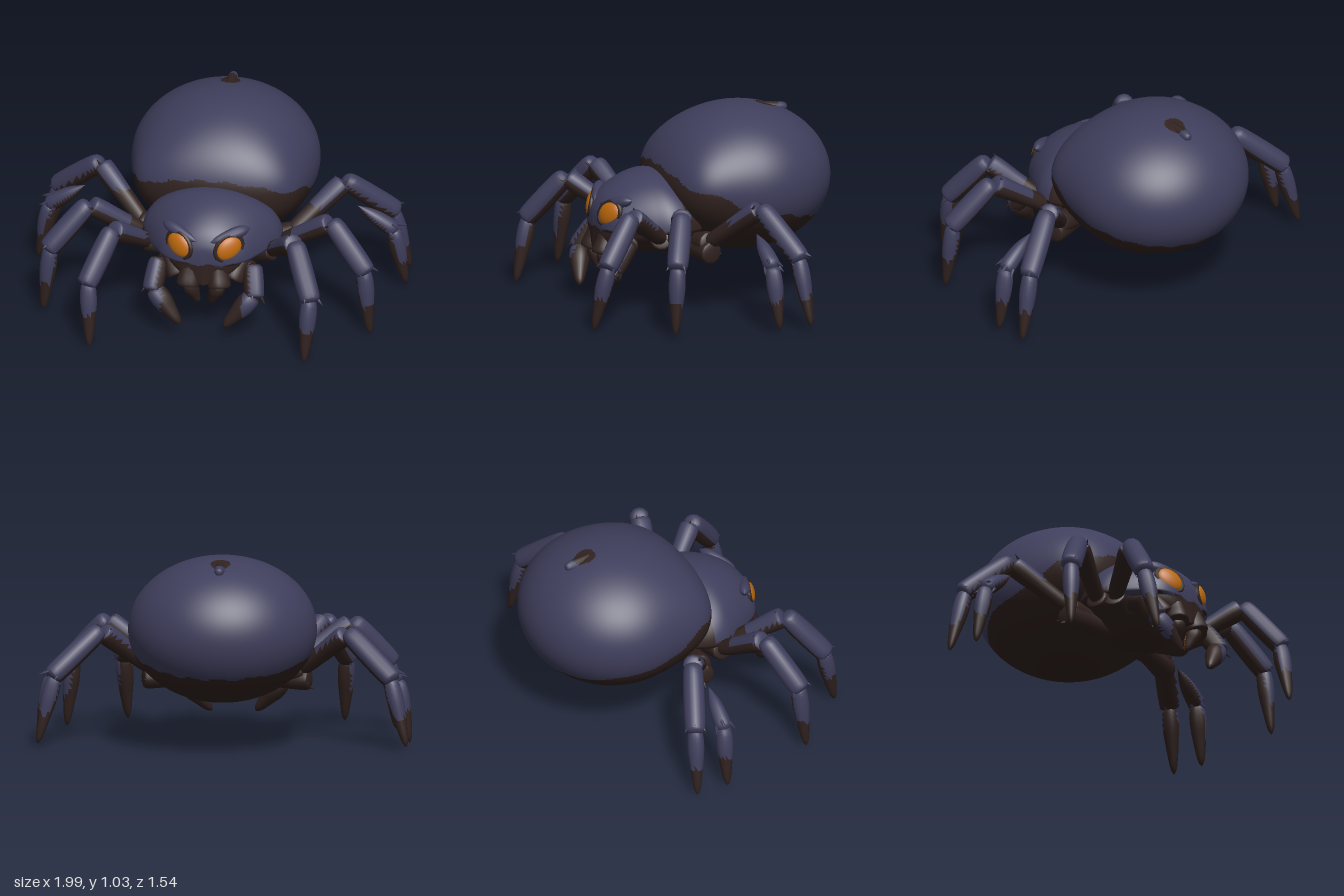
import * as THREE from 'three';
import { mergeVertices } from 'three/addons/utils/BufferGeometryUtils.js';
import { ParametricGeometry } from 'three/addons/geometries/ParametricGeometry.js';

const V = (x, y, z) => new THREE.Vector3(x, y, z);
const UP = V(0, 1, 0);

function material(name, color) {
  const m = new THREE.MeshStandardMaterial({ color });
  m.name = name;
  return m;
}

// Sorts the triangles into two groups: 0 = first colour, 1 = second, by a rule on centre and normal
function paint(geo, isSecond) {
  const g = geo.index ? geo.toNonIndexed() : geo;
  const p = g.attributes.position, n = g.attributes.normal;
  const lists = [[], []], c = V(), d = V(), t = V();
  for (let i = 0; i < p.count; i += 3) {
    c.set(0, 0, 0); d.set(0, 0, 0);
    for (let k = 0; k < 3; k++) {
      c.add(t.fromBufferAttribute(p, i + k));
      d.add(t.fromBufferAttribute(n, i + k));
    }
    lists[isSecond(c.divideScalar(3), d.normalize()) ? 1 : 0].push(i, i + 1, i + 2);
  }
  g.setIndex([...lists[0], ...lists[1]]);
  g.addGroup(0, lists[0].length, 0);
  g.addGroup(lists[0].length, lists[1].length, 1);
  return g;
}

// Joins seams and gives smooth normals
function smooth(geo) {
  geo.deleteAttribute('uv');
  geo.deleteAttribute('normal');
  const g = mergeVertices(geo, 1e-4);
  g.computeVertexNormals();
  return g;
}

// Turned solid from a to b; the profile lists [position along, radius]
function turned(a, b, profile, sides = 12) {
  const len = a.distanceTo(b);
  const pts = new THREE.SplineCurve(profile.map(([t, r]) => new THREE.Vector2(r, t * len))).getPoints(18);
  pts.forEach(q => { q.x = Math.max(q.x, 0); });
  const g = new THREE.LatheGeometry(pts, sides);
  g.applyQuaternion(new THREE.Quaternion().setFromUnitVectors(UP, b.clone().sub(a).normalize()));
  return g.translate(a.x, a.y, a.z);
}

export function createModel() {
  const shell = material('blueShell', 0x3f3e5c);
  const dark = material('darkBrown', 0x30221f);
  const orange = material('orangeEye', 0xbd690e);
  const two = [shell, dark];
  const root = new THREE.Group();
  root.name = 'spider';

  const add = (parent, name, geo, mat) => {
    const m = new THREE.Mesh(geo, mat);
    m.name = name;
    parent.add(m);
    return m;
  };

  // Small bristles around the far end of a segment
  const bristles = (parent, a, b, r, mat, count = 5) => {
    const dir = b.clone().sub(a).normalize();
    const side = V().crossVectors(dir, V(0.3, 0.2, 0.9)).normalize();
    for (let i = 0; i < count; i++) {
      const off = side.clone().applyAxisAngle(dir, i * Math.PI * 2 / count + 0.4);
      const base = a.clone().lerp(b, 0.8 + 0.06 * (i % 3)).addScaledVector(off, r * 0.75);
      const tip = base.clone().addScaledVector(dir, 0.05).addScaledVector(off, r * 0.4);
      add(parent, 'bristle', turned(base, tip, [[0, 0.012], [0.5, 0.007], [1, 0]], 4), mat);
    }
  };

  // Abdomen: egg with a broad front, dark belly and a dark spot on the back
  const ab = new THREE.SphereGeometry(1, 180, 120);
  const ap = ab.attributes.position;
  for (let i = 0; i < ap.count; i++) {
    const z = ap.getZ(i), broad = z > 0 ? 1 + 0.58 * z ** 3 : 1;
    ap.setXYZ(i, ap.getX(i) * 0.5 * broad, 0.64 + ap.getY(i) * 0.39, -0.285 + z * 0.487);
  }
  const edge = new THREE.SplineCurve([[-0.78, 0.4], [-0.7, 0.42], [-0.4, 0.5], [-0.15, 0.55], [-0.06, 0.62],
    [0.02, 0.65], [0.13, 0.67], [0.22, 0.78]].map(([z, y]) => new THREE.Vector2(z, y))).getPoints(200);
  const bellyLine = z => (edge.find(q => q.x >= z) || edge[200]).y;
  const inSpot = c => c.y > 0.9 && Math.hypot(c.x / (0.05 + 0.25 * (c.z + 0.45)), (c.z + 0.45) / 0.065) < 1;
  add(root, 'abdomen', paint(smooth(ab), c =>
    c.y < bellyLine(c.z) + 0.007 * Math.sin(c.x * 40 + c.z * 25) || inSpot(c)), two);
  // Low ridge along the back, ending in a blunt step
  add(root, 'backRidge', paint(turned(V(0, 1.005, -0.28), V(0, 0.978, -0.56),
    [[0, 0], [0.4, 0.024], [0.8, 0.028], [0.97, 0.02], [1, 0]]), inSpot), two);

  // Head: cross-sections along z given as (z, half width, top)
  const line = new THREE.CatmullRomCurve3([V(0.05, 0.33, 0.64), V(0.14, 0.37, 0.69), V(0.22, 0.37, 0.71),
    V(0.3, 0.335, 0.7), V(0.4, 0.275, 0.66), V(0.48, 0.215, 0.6), V(0.525, 0.13, 0.53), V(0.54, 0, 0.45)]);
  const head = new ParametricGeometry((u, v, out) => {
    const s = line.getPoint(v), a = u * Math.PI * 2, c = Math.cos(a), sn = Math.sin(a);
    const lower = sn < -0.01;
    out.set(Math.max(s.y, 0) * c * (lower ? 0.86 : 1), 0.43 + sn * (lower ? 0.13 : s.z - 0.43), s.x);
  }, 96, 64);
  add(root, 'head', paint(smooth(head), c =>
    c.z < 0.15 || c.y < 0.425 + 0.008 * Math.sin(c.x * 50) + (c.z < 0.25 ? 0.03 : 0)), two);

  // Underside of the thorax
  add(root, 'sternum', new THREE.SphereGeometry(1, 24, 16).scale(0.27, 0.11, 0.25).translate(0, 0.38, 0.19), dark);

  const segA = r => [[0, 0], [0.04, r * 0.75], [0.5, r * 0.95], [0.9, r * 1.08], [0.98, r * 0.8], [1, 0]];
  const segB = r => [[0, 0], [0.05, r * 0.8], [0.3, r], [0.85, r * 1.0], [0.97, r * 0.75], [1, 0]];
  const foot = r => [[0, 0], [0.05, r * 0.8], [0.3, r], [0.6, r * 0.75], [0.9, r * 0.4], [1, 0]];
  const splinter = r => [[0, 0], [0.3, r * 0.7], [0.6, r], [0.9, r * 0.95], [1, 0]];

  // Legs: base, hip, knee, ankle and foot of the left side
  const legs = {
    frontLeg: [[0.17, 0.34, 0.22], [0.34, 0.41, 0.28], [0.485, 0.575, 0.5], [0.605, 0.33, 0.695], [0.575, 0, 0.755]],
    secondLeg: [[0.16, 0.34, 0.17], [0.38, 0.41, 0.19], [0.645, 0.595, 0.28], [0.86, 0.36, 0.39], [0.875, 0.01, 0.405]],
    thirdLeg: [[0.12, 0.33, 0.1], [0.45, 0.33, 0.03], [0.73, 0.49, -0.11], [0.94, 0.34, -0.13], [0.985, 0.02, -0.145]],
    hindLeg: [[0.1, 0.32, 0.08], [0.42, 0.38, 0.03], [0.65, 0.6, -0.16], [0.915, 0.365, -0.3], [0.98, 0.02, -0.325]],
  };

  for (const s of [1, -1]) {
    const tag = s > 0 ? 'Left' : 'Right';
    const P = a => V(a[0] * s, a[1], a[2]);

    for (const [name, list] of Object.entries(legs)) {
      const leg = new THREE.Group();
      leg.name = name + tag;
      root.add(leg);
      const [base, hip, knee, ankle, tip] = list.map(P);
      const out = ankle.clone().sub(hip).setY(0).normalize().multiplyScalar(0.75).add(V(0, 0.65, 0)).normalize();
      const third = name === 'thirdLeg';
      add(leg, 'hip', turned(base, hip, segA(0.058)), dark);
      if (third) {
        bristles(leg, base, hip, 0.05, dark);
      } else {
        const darkPart = hip.distanceTo(knee) * (name === 'hindLeg' ? 0.5 : 0.3);
        add(leg, 'thigh', paint(turned(hip.clone().lerp(base, 0.1), knee, segA(0.052)),
          (c, n) => n.y < 0.15 || c.distanceTo(hip) < darkPart), two);
        bristles(leg, hip, knee, 0.05, dark, 3);
      }
      // A pointed shin lies under the hind leg for the third pair
      const top = third ? knee : knee.clone().addScaledVector(UP, 0.015);
      add(leg, 'shin', paint(turned(top, ankle, third ? splinter(0.043) : segB(0.057)),
        (c, n) => n.dot(out) < -0.4), two);
      bristles(leg, knee, ankle, 0.05, shell);
      add(leg, 'foot', paint(turned(ankle.clone().lerp(knee, 0.1), tip, foot(0.046)),
        (c, n) => c.y < 0.18 + 0.015 * Math.sin(c.x * 90 + c.z * 70) || n.dot(out) < -0.4), two);
    }

    // Feelers beside the mouth
    const feeler = new THREE.Group();
    feeler.name = 'feeler' + tag;
    root.add(feeler);
    const [f0, f1, f2, f3] = [[0.15, 0.35, 0.38], [0.25, 0.36, 0.43], [0.275, 0.235, 0.525], [0.115, 0.075, 0.57]].map(P);
    add(feeler, 'feelerBase', turned(f0, f1, segA(0.045)), dark);
    add(feeler, 'feelerMiddle', paint(turned(f1.clone().add(V(0, 0.03, -0.01)), f2, segB(0.054)),
      (c, n) => n.x * s < -0.4 || n.z < 0), two);
    add(feeler, 'feelerTip', paint(turned(f2.clone().lerp(f1, 0.15), f3, foot(0.055)),
      (c, n) => c.x * s < 0.215 || n.z < 0.1), two);
    bristles(feeler, f1, f2, 0.048, dark, 4);

    // Jaw and fang, with an orange rear face
    const [j0, j1, j2] = [[0.07, 0.43, 0.47], [0.085, 0.28, 0.515], [0.033, 0.165, 0.475]].map(P);
    add(root, 'jaw' + tag, turned(j0, j1, segA(0.058)), dark);
    add(root, 'fang' + tag, paint(turned(j1.clone().lerp(j0, 0.15), j2, foot(0.042)),
      (c, n) => n.z > -0.45 || c.y > 0.25), [orange, dark]);
    add(root, 'cheek' + tag, turned(P([0.2, 0.43, 0.4]), P([0.14, 0.31, 0.46]), segA(0.06)), dark);

    // Slanted eye with a dark rim, set upright under the brow
    const eye = new THREE.Group();
    eye.name = 'eye' + tag;
    eye.position.set(0.132 * s, 0.515, 0.493);
    eye.lookAt(eye.position.clone().add(V(0.42 * s, 0.16, 0.87)));
    root.add(eye);
    const rim = add(eye, 'eyeRim', new THREE.TorusGeometry(0.07, 0.013, 8, 28), dark);
    const ball = add(eye, 'eyeball', new THREE.SphereGeometry(0.069, 24, 16), orange);
    rim.scale.set(1.12, 0.9, 1);
    ball.scale.set(1.12, 0.9, 0.45);
    rim.rotation.z = ball.rotation.z = 0.6 * s;
    // Brow ridge shading the eye from above
    add(root, 'brow' + tag, turned(P([0.035, 0.55, 0.515]), P([0.235, 0.6, 0.405]),
      [[0, 0], [0.2, 0.022], [0.6, 0.033], [0.85, 0.025], [1, 0]]), shell);
  }
  return root;
}
